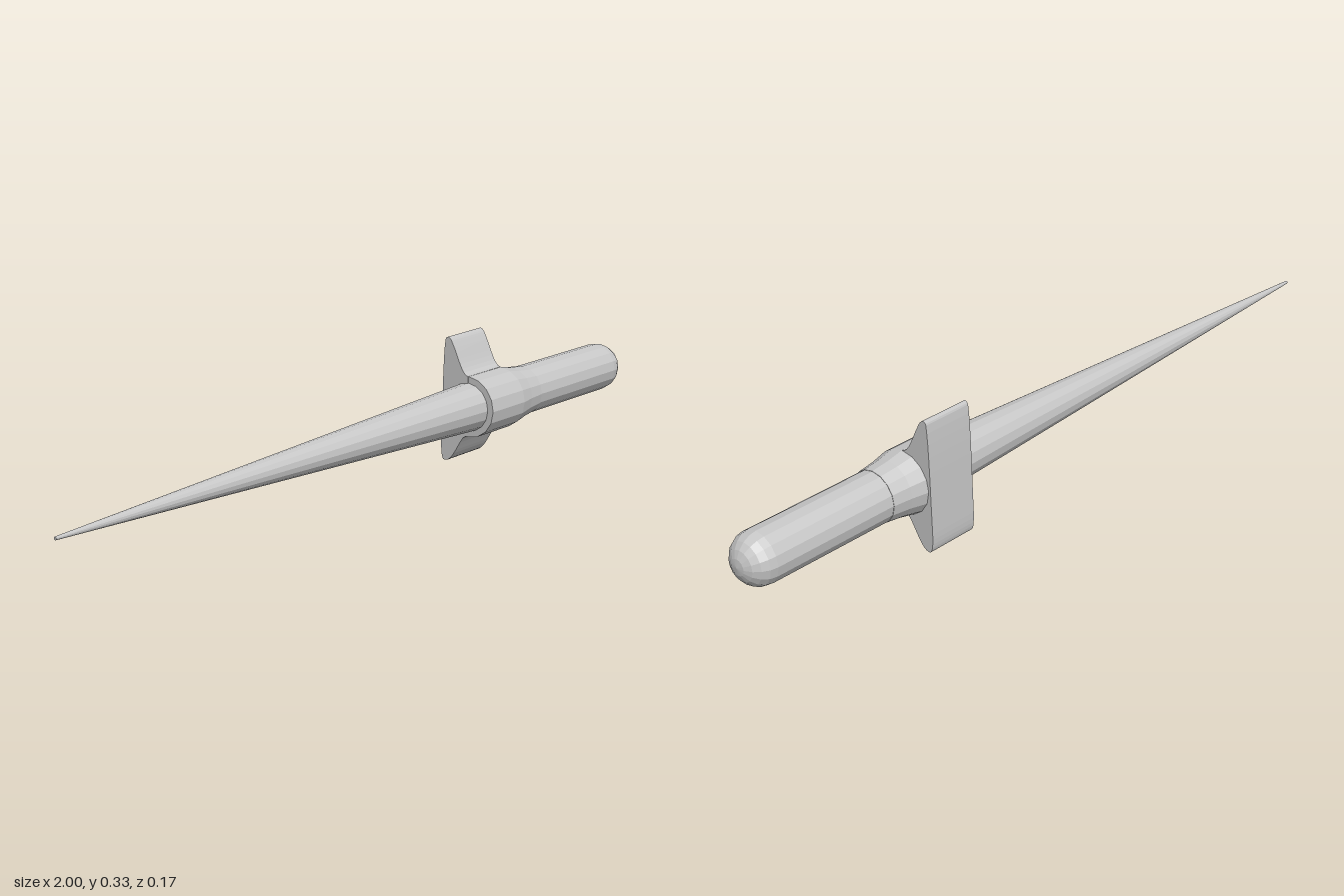
import * as THREE from 'three';

const metal = new THREE.MeshStandardMaterial({ color: 0xc6c6c6, flatShading: true });
metal.name = 'light grey';

// Turned part along +x from [x, radius] pairs
function turned(name, profile, sides = 16) {
  const geo = new THREE.LatheGeometry(profile.map(([x, r]) => new THREE.Vector2(r, x)), sides);
  geo.rotateZ(-Math.PI / 2);
  const mesh = new THREE.Mesh(geo, metal);
  mesh.name = name;
  return mesh;
}

export function createModel() {
  const model = new THREE.Group();
  model.name = 'spike';

  // Shaft parts share one slightly tilted axis
  const shaft = new THREE.Group();
  shaft.name = 'shaft';
  shaft.position.y = 0.157;
  shaft.rotation.set(0, -0.008, -0.003);
  model.add(shaft);

  // Long tapering spike
  shaft.add(turned('blade', [[-1, 0], [-1, 0.004], [0.4, 0.064], [0.4, 0]]));

  // Collar narrowing into the handle
  shaft.add(turned('collar', [[0.371, 0], [0.371, 0.08], [0.505, 0.08], [0.55, 0.071], [0.6, 0.065], [0.6, 0]]));

  // Handle with a domed end
  shaft.add(turned('handle', [[0.52, 0], [0.52, 0.064], [0.94, 0.064]]));
  const dome = [];
  for (let i = 0; i <= 5; i++) {
    const a = (i / 5) * Math.PI / 2;
    dome.push([0.94 + 0.06 * Math.sin(a), i === 5 ? 0 : 0.064 * Math.cos(a)]);
  }
  shaft.add(turned('handleEnd', dome));

  // Back clip with two swept wings; drawn as (-z, y), then extruded along x
  const s = new THREE.Shape();
  s.moveTo(-0.002, 0.236);
  s.bezierCurveTo(0.018, 0.236, 0.032, 0.285, 0.05, 0.316);
  s.bezierCurveTo(0.058, 0.333, 0.07, 0.334, 0.073, 0.322);
  s.bezierCurveTo(0.08, 0.28, 0.081, 0.14, 0.084, 0.05);
  s.bezierCurveTo(0.084, 0.005, 0.079, 0, 0.071, 0);
  s.bezierCurveTo(0.05, 0, 0.034, 0.04, 0.016, 0.066);
  s.quadraticCurveTo(0.009, 0.076, -0.002, 0.077);
  s.closePath();
  const clipGeo = new THREE.ExtrudeGeometry(s, { depth: 0.137, bevelEnabled: false, curveSegments: 8 });
  clipGeo.rotateY(Math.PI / 2);
  clipGeo.translate(0.37, 0, 0);
  const clip = new THREE.Mesh(clipGeo, metal);
  clip.name = 'clip';
  model.add(clip);

  return model;
}
